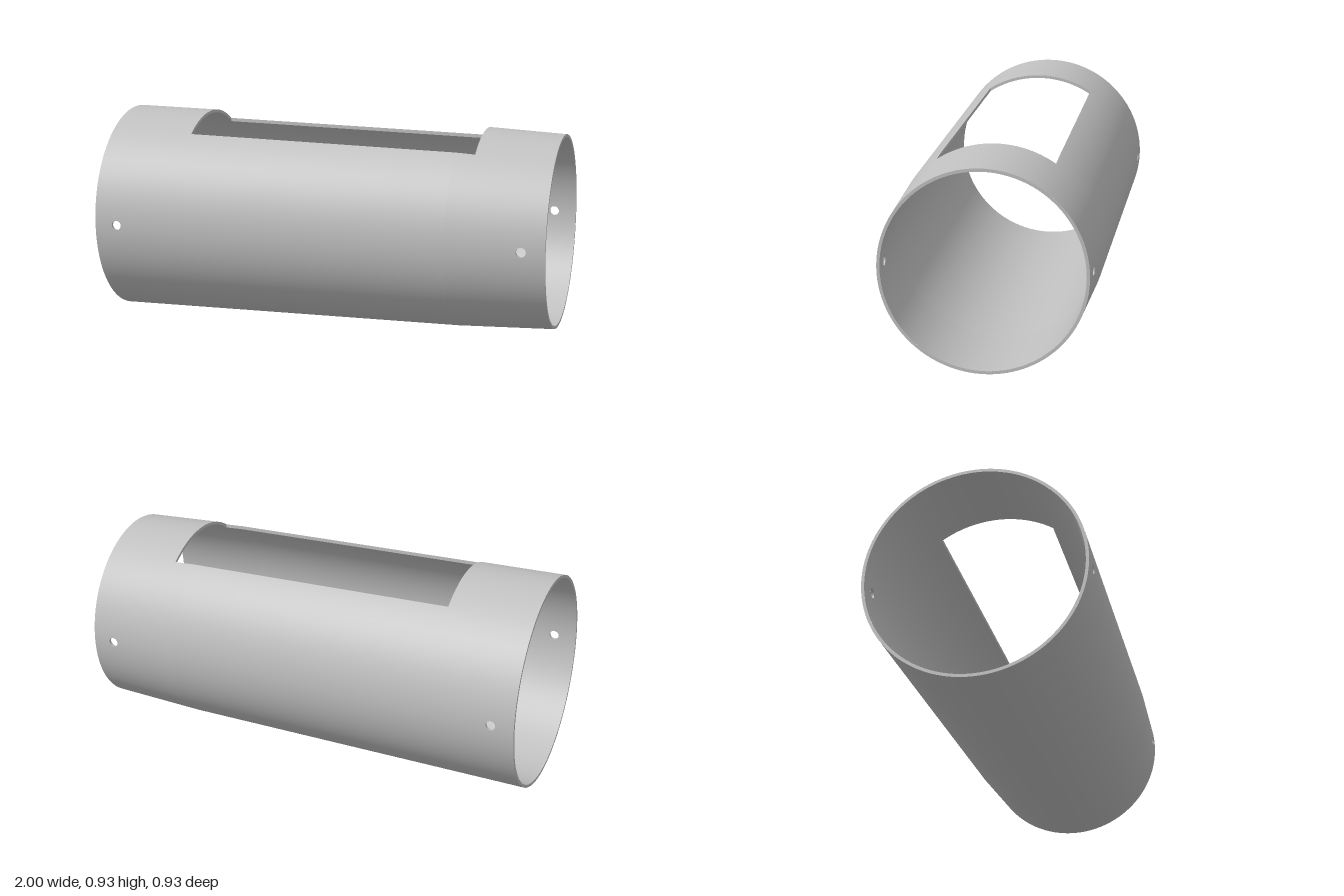
import * as THREE from 'three';
import { ParametricGeometry } from 'three/addons/geometries/ParametricGeometry.js';
import { mergeGeometries } from 'three/addons/utils/BufferGeometryUtils.js';

const CY = 0.465, WALL = 0.013;            // axis height, wall thickness
const BEND = 0.58;                         // where the taper steepens
const WIN = { x0: -0.625, x1: 0.663, z: 0.245 };
const HOLE = { x: 0.9, r: 0.021, half: 0.05, arc: 0.11 };
const lerp = THREE.MathUtils.lerp;

// Radius of the tapered tube; w runs from outer skin (0) to inner skin (1)
function radius(x, w) {
  const outer = x < BEND ? lerp(0.4645, 0.4425, (x + 1) / (BEND + 1))
    : lerp(0.4425, 0.4235, (x - BEND) / (1 - BEND));
  return outer - WALL * w;
}

// Angle from the top at which the straight window cut meets the skin
const cutAngle = (x, w) => Math.asin(WIN.z / radius(x, w));
const upper = () => Math.PI / 2 - HOLE.arc;
const lower = () => Math.PI / 2 + HOLE.arc;

export function createModel() {
  const skins = [], edges = [];

  // map(u, v, w) gives [x, angle]; side mirrors the patch across z = 0
  function patch(list, map, nu, nv, side, flip, w) {
    list.push(new ParametricGeometry((u, v, p) => {
      const s = flip ? 1 - u : u;
      const depth = w === undefined ? s : w;
      const [x, a] = map(s, v, depth);
      const r = radius(x, depth);
      p.set(x, CY + r * Math.cos(a), side * r * Math.sin(a));
    }, nu, nv));
  }
  // Outer and inner skin on both sides
  function skin(map, nu, nv) {
    for (const side of [1, -1]) for (const w of [0, 1]) {
      patch(skins, map, nu, nv, side, (side < 0) !== (w === 1), w);
    }
  }
  // Strip across the wall thickness, following a curve
  function edge(curve, n, flip) {
    for (const side of [1, -1]) {
      patch(edges, (u, v, w) => curve(v, w), 1, n, side, (side < 0) !== flip);
    }
  }
  // Rectangular bands between two angles
  function bands(from, to, nu, spans) {
    for (const [a, b] of spans) {
      skin((u, v, w) => {
        const x = lerp(a, b, v);
        return [x, lerp(from(x, w), to(x, w), u)];
      }, nu, 6);
    }
  }

  const top = () => 0, bottom = () => Math.PI;
  const near = HOLE.x - HOLE.half, far = HOLE.x + HOLE.half;
  const full = [[-1, BEND], [BEND, 1]];
  bands(top, cutAngle, 16, [[-1, WIN.x0], [WIN.x1, 1]]);
  bands(cutAngle, upper, 24, full);
  bands(upper, lower, 8, [[-1, -far], [-near, BEND], [BEND, near], [far, 1]]);
  bands(lower, bottom, 40, full);

  // Skin around each screw hole, and the hole's wall
  for (const cx of [-HOLE.x, HOLE.x]) {
    const rim = (phi, w) => {
      const x = cx + HOLE.r * Math.cos(phi);
      return [x, Math.PI / 2 - Math.asin(HOLE.r * Math.sin(phi) / radius(x, w))];
    };
    skin((u, v, w) => {
      const phi = -2 * Math.PI * u, c = Math.cos(phi), s = Math.sin(phi);
      const k = 1 / Math.max(Math.abs(c), Math.abs(s));
      const [x, a] = rim(phi, w);
      return [lerp(x, cx + HOLE.half * c * k, v),
        lerp(a, Math.PI / 2 - HOLE.arc * s * k, v)];
    }, 40, 3);
    edge((v, w) => rim(2 * Math.PI * v, w), 40, true);
  }

  // End rims
  edge((v) => [-1, Math.PI * v], 80, false);
  edge((v) => [1, Math.PI * v], 80, true);
  // Window ends and straight sides
  edge((v, w) => [WIN.x0, cutAngle(WIN.x0, w) * v], 16, true);
  edge((v, w) => [WIN.x1, cutAngle(WIN.x1, w) * v], 16, false);
  for (const [a, b] of [[WIN.x0, BEND], [BEND, WIN.x1]]) {
    edge((v, w) => {
      const x = lerp(a, b, v);
      return [x, cutAngle(x, w)];
    }, 6, true);
  }

  const grey = new THREE.MeshStandardMaterial({ color: 0xc0c0c0 });
  grey.name = 'light grey';
  const group = new THREE.Group();
  group.name = 'taperedSleeve';
  for (const [name, list] of [['tubeWall', skins], ['cutEdges', edges]]) {
    const mesh = new THREE.Mesh(mergeGeometries(list), grey);
    mesh.name = name;
    group.add(mesh);
  }
  return group;
}
